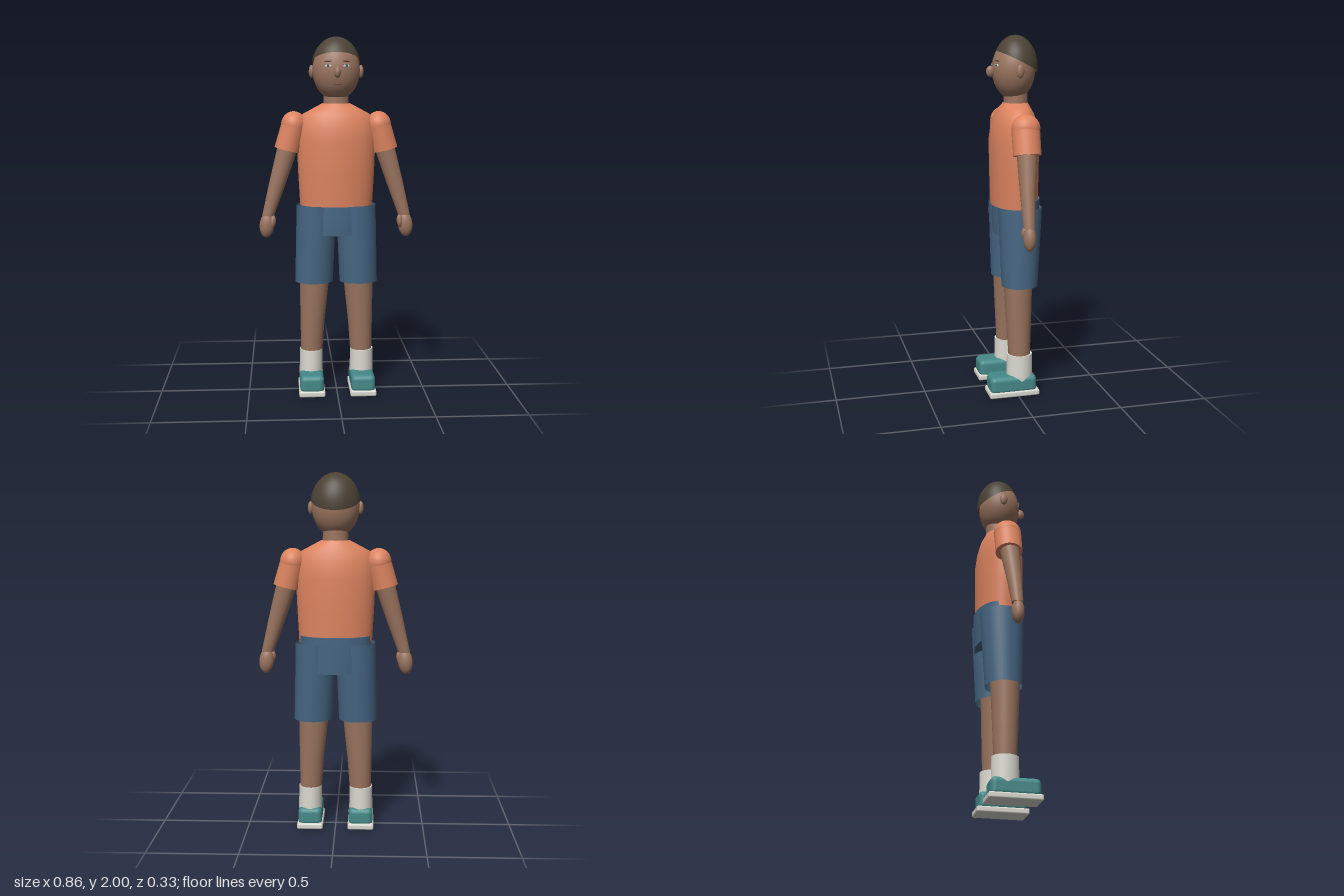
import * as THREE from 'three';
import { RoundedBoxGeometry } from 'three/addons/geometries/RoundedBoxGeometry.js';

const material = (name, color, side = THREE.FrontSide) => {
  const m = new THREE.MeshStandardMaterial({ color, side });
  m.name = name;
  return m;
};

// Stack of elliptical rings [y, cx, cz, rx, rz], listed bottom to top
function loft(rings, { capped = true, seg = 40 } = {}) {
  const pos = [], idx = [];
  const addRing = ([y, cx, cz, rx, rz]) => {
    const start = pos.length / 3;
    for (let j = 0; j < seg; j++) {
      const a = (j / seg) * Math.PI * 2;
      pos.push(cx + rx * Math.cos(a), y, cz + rz * Math.sin(a));
    }
    return start;
  };
  const starts = rings.map(addRing);
  for (let i = 0; i + 1 < rings.length; i++) {
    for (let j = 0; j < seg; j++) {
      const k = (j + 1) % seg, a = starts[i], b = starts[i + 1];
      idx.push(a + j, b + j, a + k, a + k, b + j, b + k);
    }
  }
  // Caps have their own vertices so the rim stays sharp
  const cap = (ring, up) => {
    const s = addRing(ring), c = pos.length / 3;
    pos.push(ring[1], ring[0], ring[2]);
    for (let j = 0; j < seg; j++) {
      const k = (j + 1) % seg;
      idx.push(c, s + (up ? k : j), s + (up ? j : k));
    }
  };
  if (capped) {
    cap(rings[0], false);
    cap(rings[rings.length - 1], true);
  }
  const g = new THREE.BufferGeometry();
  g.setAttribute('position', new THREE.Float32BufferAttribute(pos, 3));
  g.setIndex(idx);
  g.computeVertexNormals();
  return g;
}

const ball = (rx, ry, rz, seg = 32) => new THREE.SphereGeometry(1, seg, seg / 2).scale(rx, ry, rz);

export function createModel() {
  const model = new THREE.Group();
  model.name = 'person';
  const skin = material('skin', 0x9a745f);
  const shirt = material('shirt', 0xdd8460);
  const shorts = material('shorts', 0x466682, THREE.DoubleSide);
  const hair = material('hair', 0x4c4235, THREE.DoubleSide);
  const teal = material('shoe teal', 0x468a8a);
  const white = material('off white', 0xdad9d0);
  const iris = material('iris', 0x4f7583);
  const lip = material('lip', 0x81564b);

  const add = (name, geometry, mat, x = 0, y = 0, z = 0, parent = model) => {
    const mesh = new THREE.Mesh(geometry, mat);
    mesh.name = name;
    mesh.position.set(x, y, z);
    parent.add(mesh);
    return mesh;
  };

  // Head and neck
  const H = { y: 1.815, z: -0.023, rx: 0.131, ry: 0.163, rz: 0.118 };
  const head = new THREE.Group();
  head.name = 'head';
  model.add(head);
  add('skull', ball(H.rx, H.ry, H.rz, 48), skin, 0, H.y, H.z, head);
  add('neck', loft([[1.6, 0, -0.035, 0.072, 0.066], [1.72, 0, -0.035, 0.068, 0.064]]), skin, 0, 0, 0, head);
  add('nose', ball(0.018, 0.031, 0.024), skin, 0, 1.805, 0.107, head);

  // Hair cap, cut by a plane that slopes down to the back
  const cap = new THREE.SphereGeometry(1, 48, 20, 0, Math.PI * 2, 0, 1.374);
  cap.rotateX(-0.338).scale(0.137, 0.175, 0.122);
  add('hairCap', cap, hair, 0, 1.825, -0.033, head);

  // Thin facial details lying on the skull
  const onFace = (name, w, h, mat, x, y, lift = 0, tilt = 0) => {
    const u = x / H.rx, v = (y - H.y) / H.ry;
    const z = H.z + H.rz * Math.sqrt(1 - u * u - v * v);
    const mesh = add(name, ball(w, h, 0.003, 16), mat, x, y, z + lift, head);
    mesh.rotation.set(-v * 0.7, Math.atan2(u / H.rx, (z - H.z) / H.rz ** 2), tilt, 'YXZ');
  };
  onFace('mouth', 0.023, 0.004, lip, 0, 1.74);

  // Pelvis and torso
  add('pelvis', loft([[0.905, 0, -0.033, 0.19, 0.123], [1.0, 0, -0.033, 0.198, 0.127],
    [1.11, 0, -0.036, 0.2, 0.127]]), shorts);
  add('torso', loft([
    [1.068, 0, -0.025, 0.203, 0.127], [1.25, 0, -0.024, 0.213, 0.131],
    [1.43, 0, -0.024, 0.22, 0.133], [1.51, 0, -0.025, 0.21, 0.122],
    [1.575, 0, -0.026, 0.19, 0.104], [1.61, 0, -0.03, 0.125, 0.083],
    [1.635, 0, -0.033, 0.078, 0.068],
  ], { seg: 56 }), shirt);

  for (const [side, s] of [['left', 1], ['right', -1]]) {
    const name = (part) => side + part;

    // Face and ear
    add(name('Ear'), ball(0.015, 0.036, 0.021), skin, s * 0.137, 1.81, -0.025, head);
    onFace(name('EyeWhite'), 0.019, 0.009, white, s * 0.05, 1.84);
    onFace(name('Iris'), 0.008, 0.008, iris, s * 0.05, 1.84, 0.002);
    onFace(name('Pupil'), 0.004, 0.004, hair, s * 0.05, 1.84, 0.004);
    onFace(name('UpperLid'), 0.02, 0.003, skin, s * 0.05, 1.849, 0.002);
    onFace(name('Brow'), 0.022, 0.004, hair, s * 0.05, 1.864, 0, -s * 0.1);

    // Arm
    const arm = new THREE.Group();
    arm.name = name('Arm');
    model.add(arm);
    add('shoulder', ball(0.07, 0.075, 0.078), shirt, s * 0.237, 1.517, -0.028, arm);
    add('sleeve', loft([[0, 0, 0, 0.072, 0.075], [0.145, -s * 0.036, 0, 0.068, 0.077]])
      .applyMatrix4(new THREE.Matrix4().makeShear(s * 0.25, 0, 0, 0, 0, 0)),
    shirt, s * 0.272, 1.377, -0.027, arm);
    add('forearm', loft([
      [1.01, s * 0.383, -0.008, 0.034, 0.031], [1.2, s * 0.327, -0.014, 0.048, 0.042],
      [1.42, s * 0.262, -0.026, 0.06, 0.056],
    ]), skin, 0, 0, 0, arm);
    add('hand', ball(0.041, 0.07, 0.034), skin, s * 0.391, 0.955, -0.008, arm).rotation.z = s * 0.08;
    add('thumb', ball(0.017, 0.036, 0.019), skin, s * 0.357, 0.977, 0.008, arm).rotation.z = s * 0.1;

    // Leg
    const leg = new THREE.Group();
    leg.name = name('Leg');
    model.add(leg);
    add('shortsLeg', loft([
      [0.63, s * 0.126, -0.025, 0.107, 0.1], [0.9, s * 0.117, -0.029, 0.11, 0.114],
      [1.07, s * 0.112, -0.031, 0.111, 0.122],
    ], { capped: false }), shorts, 0, 0, 0, leg);
    add('shin', loft([
      [0.2, s * 0.142, -0.02, 0.06, 0.06], [0.4, s * 0.136, -0.018, 0.069, 0.069],
      [0.7, s * 0.122, -0.016, 0.087, 0.082],
    ]), skin, 0, 0, 0, leg);
    add('sock', loft([[0.09, s * 0.145, -0.021, 0.067, 0.074], [0.235, s * 0.144, -0.021, 0.065, 0.072]]),
      white, 0, 0, 0, leg);
    add('shoe', new RoundedBoxGeometry(0.135, 0.1, 0.265, 4, 0.028), teal, s * 0.144, 0.068, 0.025, leg);
    add('sole', new RoundedBoxGeometry(0.147, 0.034, 0.286, 2, 0.01), white, s * 0.144, 0.017, 0.022, leg);
  }
  return model;
}
